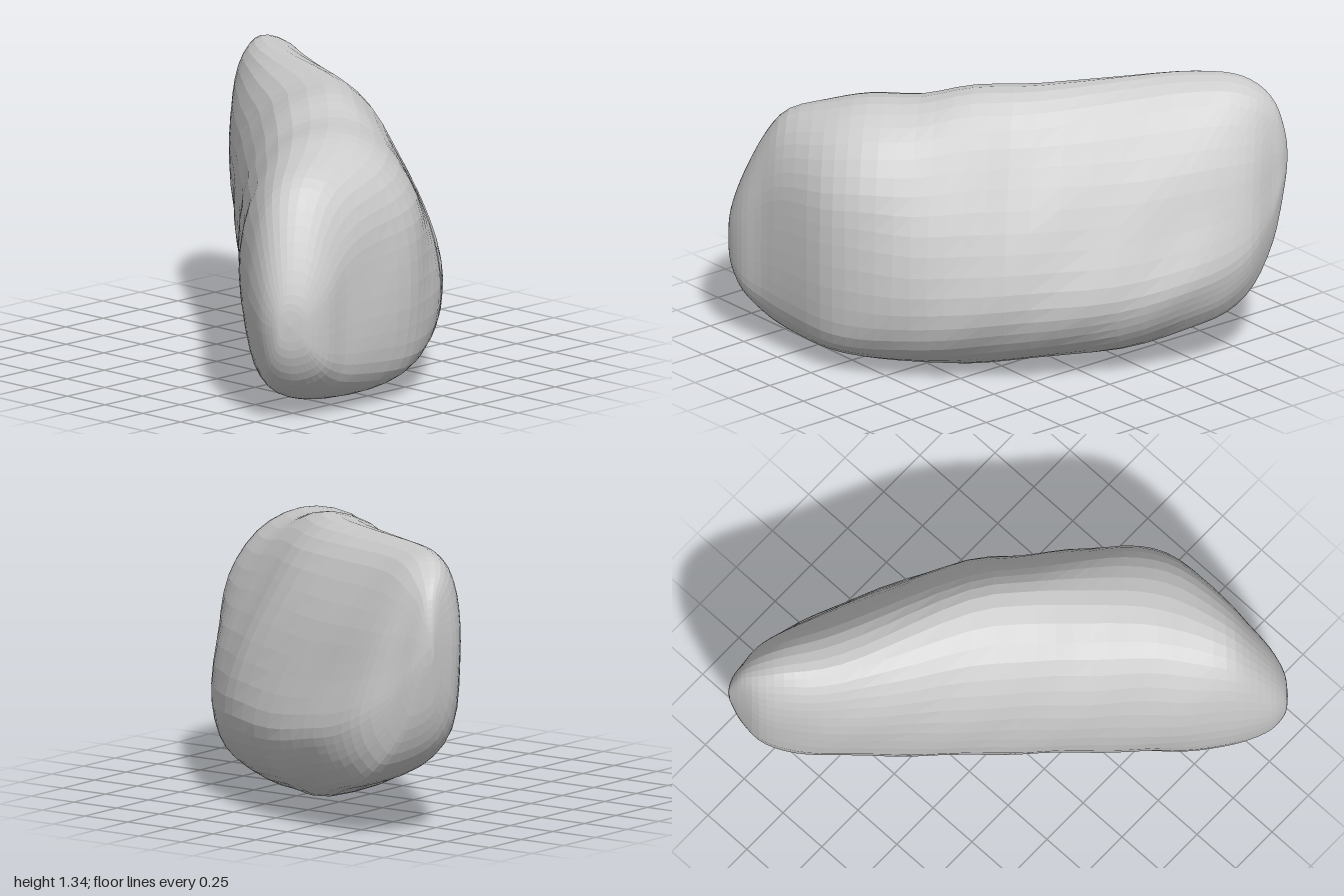
import * as THREE from 'three';

// Stations along the boulder's diagonal axis: [u, yBottom, yTop, vBack, vFront]
const STATIONS = [
  [-1.33, 0.44, 0.52, -0.06, 0.02],
  [-1.31, 0.32, 0.63, -0.10, 0.09],
  [-1.25, 0.20, 0.80, -0.15, 0.17],
  [-1.15, 0.11, 1.00, -0.19, 0.25],
  [-1.04, 0.06, 1.13, -0.22, 0.36],
  [-0.84, 0.02, 1.21, -0.25, 0.55],
  [-0.65, 0.00, 1.26, -0.25, 0.64],
  [-0.40, 0.00, 1.275, -0.25, 0.70],
  [-0.15, 0.00, 1.33, -0.25, 0.71],
  [0.16, 0.04, 1.34, -0.26, 0.69],
  [0.57, 0.10, 1.34, -0.28, 0.58],
  [0.87, 0.19, 1.34, -0.29, 0.45],
  [1.05, 0.25, 1.33, -0.27, 0.34],
  [1.17, 0.36, 1.28, -0.23, 0.23],
  [1.25, 0.54, 1.20, -0.16, 0.08],
  [1.29, 0.74, 1.09, -0.12, 0.00],
  [1.31, 0.90, 0.98, -0.10, -0.07],
];

// Cross-sections at three places: fractions across (back to front) and up
const SECTIONS = [
  { u: -0.9, points: [
    [0.44, 0], [0.74, 0.03], [0.94, 0.12], [1, 0.3], [1, 0.57], [0.95, 0.77], [0.78, 0.93],
    [0.51, 1], [0.24, 0.95], [0.07, 0.78], [0, 0.5], [0.05, 0.22], [0.17, 0.06]] },
  { u: 0, points: [
    [0.53, 0], [0.78, 0.05], [0.94, 0.16], [1, 0.31], [0.93, 0.52], [0.79, 0.74], [0.64, 0.92],
    [0.46, 1], [0.2, 0.93], [0.05, 0.74], [0, 0.48], [0.04, 0.23], [0.2, 0.07]] },
  { u: 0.95, points: [
    [0.72, 0], [0.87, 0.05], [0.97, 0.15], [1, 0.27], [0.88, 0.48], [0.73, 0.71], [0.48, 0.94],
    [0.24, 1], [0.1, 0.94], [0.02, 0.78], [0, 0.55], [0.06, 0.25], [0.29, 0.08]] },
];

const curve = (points, closed) => new THREE.CatmullRomCurve3(
  points.map(([x, y, z = 0]) => new THREE.Vector3(x, y, z)), closed, 'catmullrom');

const outlines = SECTIONS.map(({ points }) => curve(points, true));

// Point on the cross-section at u, blended between the neighbouring sections
function sectionPoint(u, t) {
  const i = u < SECTIONS[1].u ? 0 : 1;
  const blend = THREE.MathUtils.smoothstep(u, SECTIONS[i].u, SECTIONS[i + 1].u);
  return outlines[i].getPoint(t).lerp(outlines[i + 1].getPoint(t), blend);
}

function boulderGeometry(rows = 48, sides = 40) {
  const heights = curve(STATIONS.map(([u, yb, yt]) => [u, yb, yt]), false);
  const depths = curve(STATIONS.map(([u, , , vb, vf]) => [u, vb, vf]), false);

  const positions = [];
  const index = [];
  for (let i = 0; i <= rows; i++) {
    const h = heights.getPoint(i / rows);
    const d = depths.getPoint(i / rows);
    const tip = i === 0 || i === rows;
    for (let j = 0; j < sides; j++) {
      const s = sectionPoint(h.x, j / sides);
      // gentle weathering; the end rows close to a point
      const a = (j / sides) * Math.PI * 2;
      const dent = tip ? 0 : 1 + 0.008 * Math.sin(5 * a - 13 * h.x);
      const v = THREE.MathUtils.lerp(d.y, d.z, 0.5 + (s.x - 0.5) * dent);
      const y = THREE.MathUtils.lerp(h.y, h.z, tip ? 0.5 : s.y);
      positions.push((h.x + v) * Math.SQRT1_2, y, (v - h.x) * Math.SQRT1_2);
      if (i === rows) continue;
      const p = i * sides + j, q = i * sides + (j + 1) % sides;
      if (i < rows - 1) index.push(p, p + sides, q + sides);
      else index.push(p, p + sides, q);
      if (i > 0 && i < rows - 1) index.push(p, q + sides, q);
    }
  }
  const geometry = new THREE.BufferGeometry();
  geometry.setAttribute('position', new THREE.Float32BufferAttribute(positions, 3));
  geometry.setIndex(index);
  const faceted = geometry.toNonIndexed();
  faceted.computeVertexNormals();
  return faceted;
}

export function createModel() {
  const group = new THREE.Group();
  group.name = 'rock';
  const boulder = new THREE.Mesh(
    boulderGeometry(),
    new THREE.MeshStandardMaterial({ color: 0xcccccc, flatShading: true }));
  boulder.name = 'boulder';
  group.add(boulder);
  return group;
}
